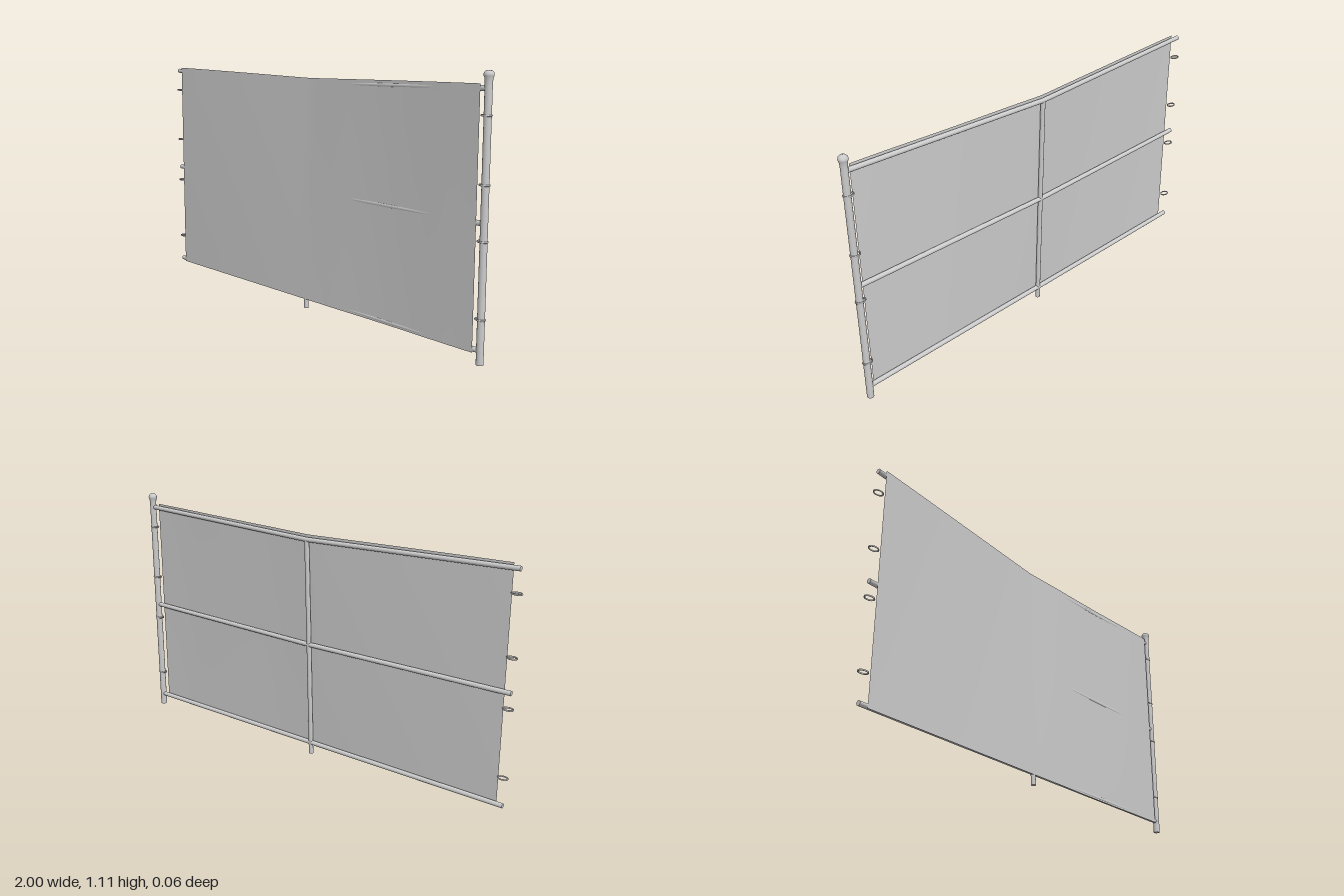
import * as THREE from 'three';

const mat = new THREE.MeshStandardMaterial({ color: 0xcccccc });
const sheetMat = new THREE.MeshStandardMaterial({ color: 0xcccccc, side: THREE.DoubleSide });

const Z0 = 0.012;        // plane of the end posts
const MID_X = -0.005;    // centre support
const LEAN = 0.032;      // backward lean of the centre support per unit height
const ROD = 0.0105;

// Rod between two points
function rod(name, a, b, r, sides = 16) {
  const dir = b.clone().sub(a);
  const mesh = new THREE.Mesh(new THREE.CylinderGeometry(r, r, dir.length(), sides), mat);
  mesh.position.copy(a).add(b).multiplyScalar(0.5);
  mesh.quaternion.setFromUnitVectors(new THREE.Vector3(0, 1, 0), dir.normalize());
  mesh.name = name;
  return mesh;
}

const v = (x, y, z) => new THREE.Vector3(x, y, z);
const midPoint = (y) => v(MID_X, y, Z0 - LEAN * y);

export function createModel() {
  const group = new THREE.Group();

  // End post with flared, domed cap
  const profile = [
    [0, 0], [0.0148, 0], [0.0148, 0], [0.0148, 1.05], [0.015, 1.07], [0.017, 1.085],
    [0.0195, 1.09], [0.02, 1.095], [0.0185, 1.102], [0.012, 1.109], [0, 1.111],
  ].map(([x, y]) => new THREE.Vector2(x, y));
  const post = new THREE.Mesh(new THREE.LatheGeometry(profile, 24), mat);
  post.position.set(0.979, 0, Z0);
  post.name = 'endPost';
  group.add(post);

  // Leaning centre support
  group.add(rod('centreSupport', midPoint(0), midPoint(1.02), ROD));

  // Rails, each bent backward where it meets the centre support
  for (const [name, yEnd, yMid] of [
    ['topRail', 1.045, 1.024], ['middleRail', 0.546, 0.542], ['bottomRail', 0.055, 0.055],
  ]) {
    const rail = new THREE.Group();
    rail.name = name;
    rail.add(rod(name + 'RightHalf', v(-0.984, yEnd, Z0), midPoint(yMid), ROD));
    rail.add(rod(name + 'LeftHalf', midPoint(yMid), v(0.97, yEnd, Z0), ROD));
    const joint = new THREE.Mesh(new THREE.SphereGeometry(ROD, 16, 10), mat);
    joint.position.copy(midPoint(yMid));
    joint.name = name + 'Joint';
    rail.add(joint);
    group.add(rail);
  }

  // Fabric sheet stretched over the front of the rails, sagging at the top
  const sheet = new THREE.PlaneGeometry(1.9, 1, 40, 12);
  const p = sheet.attributes.position;
  for (let i = 0; i < p.count; i++) {
    const x = p.getX(i);
    const t = p.getY(i) + 0.5;
    const inward = 1 - Math.abs(x - MID_X) / 0.98;
    const top = 1.062 - 0.018 * Math.pow(inward, 1.2);
    const y = 0.043 + t * (top - 0.043);
    // slight slack on one half lets the middle rail press through
    const s = (x - 0.2) / 0.58;
    const slack = s > 0 && s < 1 ? 0.003 * Math.sin(Math.PI * s) : 0;
    p.setXYZ(i, x, y, Z0 + ROD + 0.0008 - LEAN * y * inward - slack);
  }
  sheet.computeVertexNormals();
  const fabric = new THREE.Mesh(sheet, sheetMat);
  fabric.name = 'fabricSheet';
  group.add(fabric);

  // Tie loops along both side edges
  const loop = new THREE.TorusGeometry(0.0215, 0.003, 8, 24);
  loop.rotateX(Math.PI / 2);
  for (const side of [-1, 1]) {
    for (const y of [0.947, 0.691, 0.478, 0.178]) {
      const tie = new THREE.Mesh(loop, mat);
      tie.position.set(side * 0.9745, y, Z0);
      tie.scale.set(1, 1.2, 0.7);
      tie.name = side < 0 ? 'rightTieLoop' : 'leftTieLoop';
      group.add(tie);
    }
  }
  return group;
}
